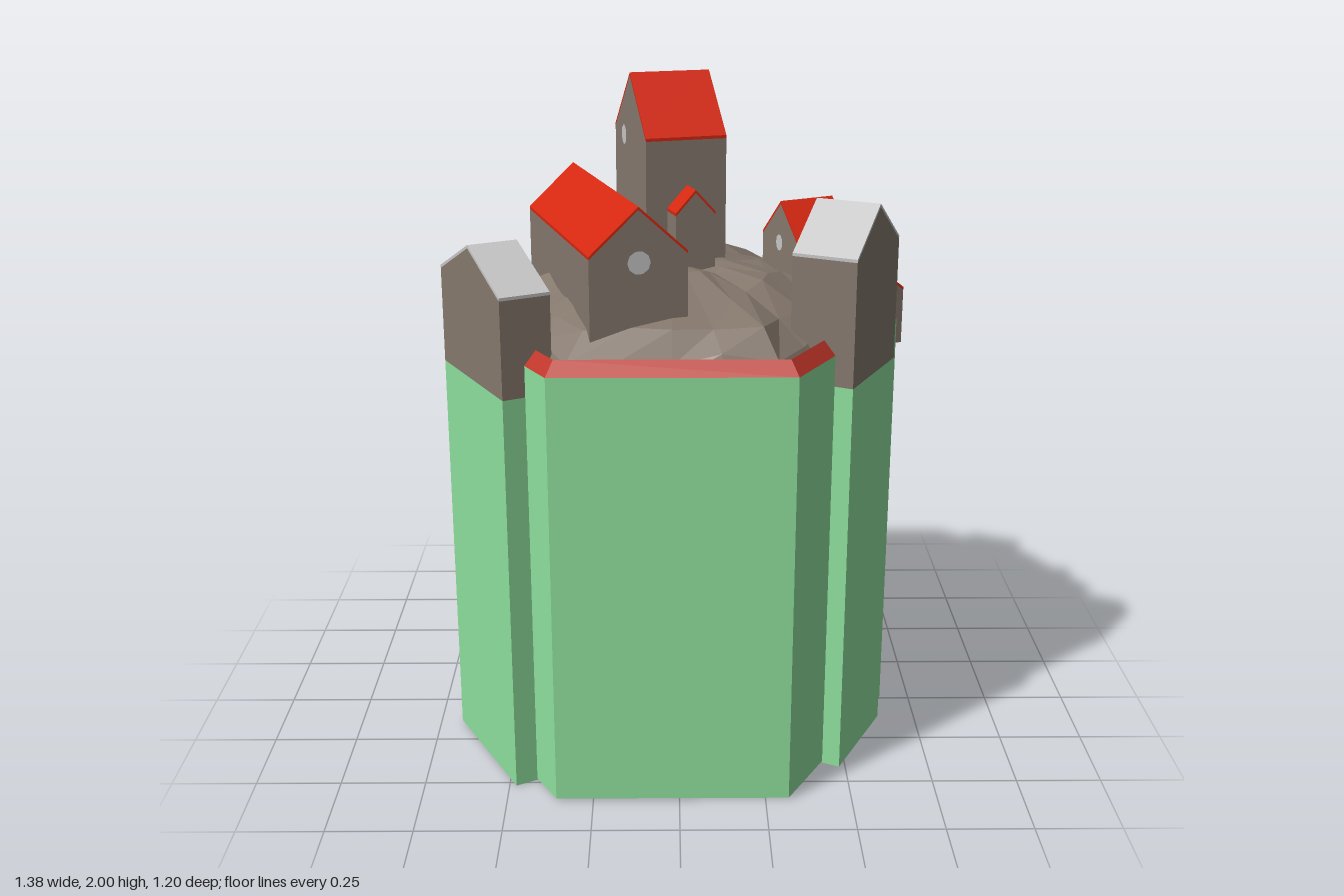
import * as THREE from 'three';

const mat = (name, color, extra = {}) => {
  const m = new THREE.MeshStandardMaterial({ color, flatShading: true, ...extra });
  m.name = name;
  return m;
};

export function createModel() {
  const green = mat('wall green', 0x8edf9d);
  const stone = mat('stone brown', 0x85786d);
  const rock = mat('rock brown', 0x85786d, { side: THREE.DoubleSide });
  const red = mat('roof red', 0xd62810);
  const trimRed = mat('rim red', 0xbf3428);
  const grey = mat('pale grey', 0xc6c6c6);

  const model = new THREE.Group();
  model.name = 'fortress';
  const CX = -0.02, CZ = 0.01, R = 0.675;

  const add = (parent, name, geometry, material) => {
    const mesh = new THREE.Mesh(geometry, material);
    mesh.name = name;
    parent.add(mesh);
    return mesh;
  };

  // Six-sided ring swept from a (radius, height) profile
  const hexRing = (name, profile, material) => {
    const pts = profile.map(([r, y]) => new THREE.Vector2(r, y));
    const ring = add(model, name, new THREE.LatheGeometry(pts, 6, Math.PI / 6), material);
    ring.position.set(CX, 0, CZ);
  };
  hexRing('outerWall', [[0.62, 1.29], [0.62, 0.01], [R, 0.01], [R, 1.29]], green);
  hexRing('wallRim', [[R, 1.29], [0.635, 1.33], [0.615, 1.3], [0.615, 1.24]], trimRed);

  // Rocky hill: hexagonal rings with seeded bumps
  const N = 24;
  const levels = [[1, 1.26], [0.94, 1.335], [0.78, 1.39], [0.55, 1.44], [0.28, 1.46]];
  let seed = 7;
  const rand = () => (seed = (seed * 16807) % 2147483647) / 2147483647 - 0.5;
  const pos = [], index = [];
  levels.forEach(([t, y], k) => {
    for (let i = 0; i < N; i++) {
      const a = (i / N) * Math.PI * 2;
      const off = ((a + Math.PI / 6) % (Math.PI / 3)) - Math.PI / 6;
      const wobble = k > 1 ? 1 + rand() * 0.1 : 1;
      const r = (0.533 / Math.cos(off)) * t * wobble;
      const z = Math.cos(a) * r;
      const bump = k > 0 ? rand() * 0.035 - z * 0.04 : 0;
      pos.push(Math.sin(a) * r, y + bump, z);
    }
  });
  const top = pos.length / 3;
  pos.push(0, 1.465, 0);
  for (let k = 0; k < levels.length; k++) {
    for (let i = 0; i < N; i++) {
      const j = (i + 1) % N, a = k * N + i, b = k * N + j;
      if (k === levels.length - 1) index.push(a, b, top);
      else index.push(a, b, b + N, a, b + N, a + N);
    }
  }
  const hillGeo = new THREE.BufferGeometry();
  hillGeo.setAttribute('position', new THREE.Float32BufferAttribute(pos, 3));
  hillGeo.setIndex(index);
  hillGeo.computeVertexNormals();
  add(model, 'hill', hillGeo, rock).position.set(CX, 0, CZ);

  const extrude = (points, length) => {
    const shape = new THREE.Shape(points.map(([x, y]) => new THREE.Vector2(x, y)));
    return new THREE.ExtrudeGeometry(shape, { depth: length, bevelEnabled: false })
      .translate(0, 0, -length / 2);
  };

  // Gabled house with its ridge along local z
  const house = ({ name, w, l, base, eave, peak, x, z, turn, roof = red, shaft = false }) => {
    const g = new THREE.Group();
    g.name = name;
    g.position.set(x, 0, z);
    g.rotation.y = turn;
    model.add(g);
    const h = w / 2, t = 0.009;
    add(g, name + 'Walls', extrude(
      [[-h, base], [h, base], [h, eave - t], [0, peak - t], [-h, eave - t]], l), stone);
    add(g, name + 'Roof', extrude(
      [[-h, eave - t], [0, peak - t], [h, eave - t], [h, eave], [0, peak], [-h, eave]], l), roof);
    if (shaft) {
      add(g, name + 'Shaft', new THREE.BoxGeometry(w, base - 0.005, l), green)
        .position.y = (base + 0.005) / 2;
    }
    // Oval window: along the wall, height, half sizes; facing = angle about y
    g.userData.window = (along, y, rx, ry, facing) => {
      const holder = new THREE.Group();
      holder.name = name + 'Window';
      holder.rotation.y = facing;
      const d = Math.abs(Math.sin(facing)) > 0.5 ? h : l / 2;
      const pane = add(holder, 'window', new THREE.CircleGeometry(1, 10), grey);
      pane.scale.set(rx, ry, 1);
      pane.position.set(along, y, d + 0.003);
      g.add(holder);
    };
    return g.userData.window;
  };

  const Q = Math.PI / 2;

  // Wall towers with green shafts
  house({ name: 'rightWallTower', w: 0.34, l: 0.19, base: 1.2, eave: 1.567, peak: 1.69,
    x: 0.474, z: 0.225, turn: 1.1, roof: grey, shaft: true });
  house({ name: 'leftWallTower', w: 0.435, l: 0.148, base: 1.2, eave: 1.487, peak: 1.588,
    x: -0.517, z: 0.29, turn: -1.08, roof: grey, shaft: true });
  house({ name: 'backWallTower', w: 0.185, l: 0.285, base: 1.2, eave: 1.468, peak: 1.556,
    x: -0.003, z: -0.512, turn: Q, roof: grey, shaft: true });

  // Great hall, keep and porch
  const hall = house({ name: 'hall', w: 0.28, l: 0.72, base: 1.3, eave: 1.585, peak: 1.713,
    x: -0.215, z: 0.075, turn: 0.298 });
  hall(0, 1.56, 0.033, 0.033, 0);
  hall(0, 1.56, 0.033, 0.033, Math.PI);

  const keep = house({ name: 'keep', w: 0.337, l: 0.245, base: 1.3, eave: 1.83, peak: 2,
    x: -0.024, z: -0.176, turn: 0.29 + Q });
  keep(-0.06, 1.825, 0.03, 0.045, 0);
  keep(0.06, 1.66, 0.035, 0.04, 0);
  keep(-0.06, 1.81, 0.025, 0.03, Math.PI);

  house({ name: 'porch', w: 0.12, l: 0.12, base: 1.3, eave: 1.625, peak: 1.69,
    x: 0.033, z: 0.008, turn: 0.298 });

  // Overhanging gallery with its side buildings
  const gallery = house({ name: 'gallery', w: 0.19, l: 0.51, base: 1.185, eave: 1.36, peak: 1.43,
    x: 0.484, z: -0.28, turn: 0.49 });
  gallery(-0.09, 1.295, 0.02, 0.045, Q);
  gallery(0.02, 1.26, 0.02, 0.02, Q);
  gallery(0.22, 1.28, 0.015, 0.025, Q);

  const chapel = house({ name: 'chapel', w: 0.2, l: 0.18, base: 1.3, eave: 1.53, peak: 1.635,
    x: 0.385, z: -0.09, turn: 0.47 + Q });
  chapel(0, 1.53, 0.018, 0.03, 0);
  chapel(0, 1.51, 0.018, 0.025, Math.PI);

  house({ name: 'chapelAnnex', w: 0.09, l: 0.12, base: 1.3, eave: 1.5, peak: 1.55,
    x: 0.335, z: -0.195, turn: 0.49 });

  return model;
}
